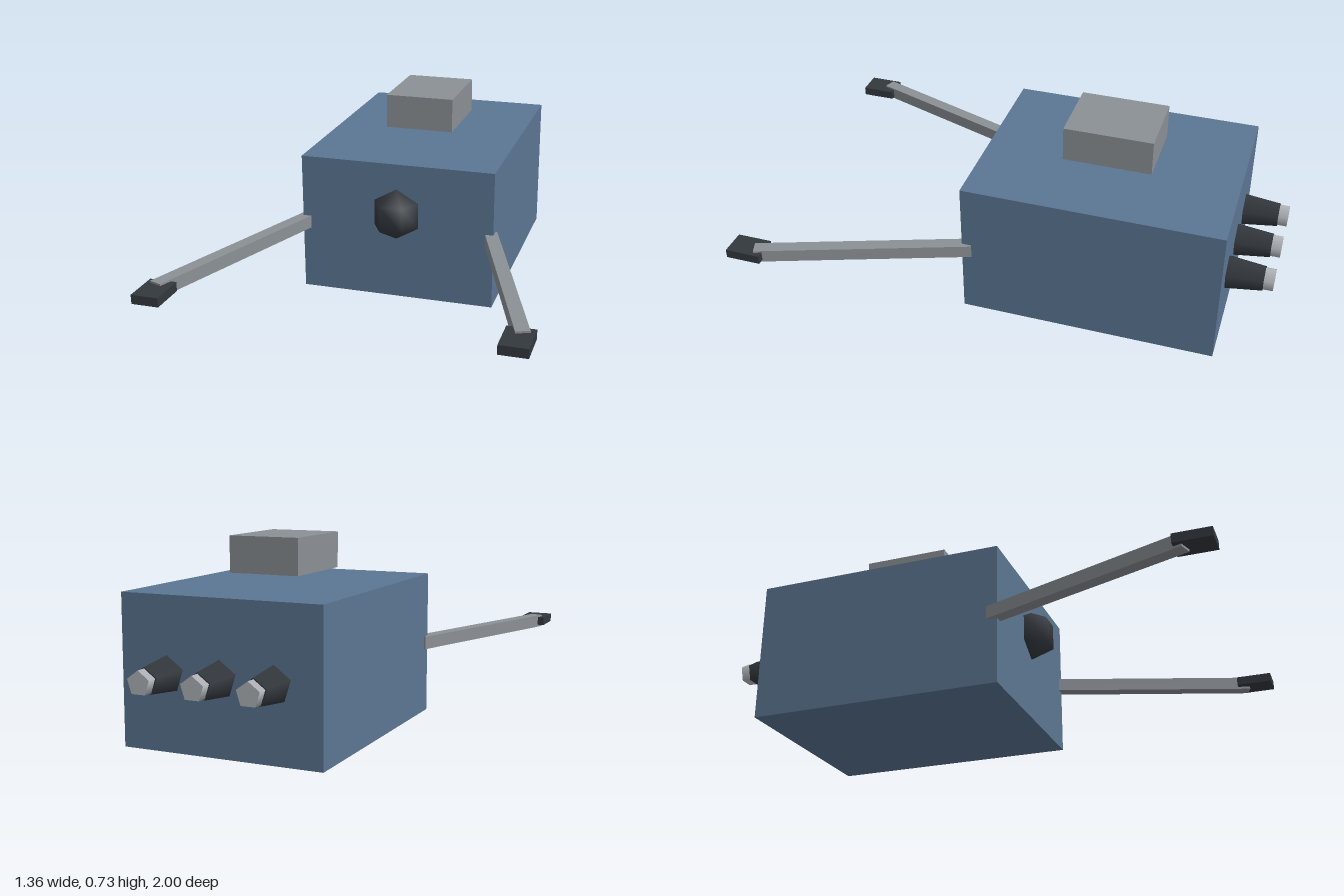
import * as THREE from 'three';

export function createModel() {
  const model = new THREE.Group();
  model.name = 'podVehicle';

  const material = (name, color) => {
    const m = new THREE.MeshStandardMaterial({ color });
    m.name = name;
    return m;
  };
  const blue = material('steel blue', 0x5b7692);
  const grey = material('mid grey', 0x8b9095);
  const dark = material('charcoal', 0x33383e);
  const silver = material('light silver', 0xb4b8bc);

  const add = (name, geometry, mat, x, y, z) => {
    const mesh = new THREE.Mesh(geometry, mat);
    mesh.name = name;
    mesh.position.set(x, y, z);
    model.add(mesh);
    return mesh;
  };

  // Hull and the block hovering above it
  add('body', new THREE.BoxGeometry(0.77, 0.55, 0.985), blue, 0, 0.275, -0.3325);
  add('roofBlock', new THREE.BoxGeometry(0.274, 0.135, 0.34), grey, 0, 0.6625, -0.332);

  // Faceted eye set halfway into the front
  add('frontEye', new THREE.SphereGeometry(0.102, 6, 3), dark, 0, 0.347, 0.16);

  // Splayed arms with flat grippers
  for (const side of [1, -1]) {
    const label = side > 0 ? 'left' : 'right';
    const arm = add(label + 'Arm', new THREE.BoxGeometry(0.05, 0.05, 0.82), grey, side * 0.505, 0.277, 0.515);
    arm.rotation.y = side * 0.34;
    add(label + 'Gripper', new THREE.BoxGeometry(0.1, 0.034, 0.136), dark, side * 0.631, 0.278, 0.932);
  }

  // Three rear thrusters, each a tapered nozzle with a bright tip
  const nozzle = new THREE.CylinderGeometry(0.05, 0.067, 0.14, 5).rotateX(-Math.PI / 2);
  const tip = new THREE.CylinderGeometry(0.045, 0.045, 0.06, 5).rotateX(-Math.PI / 2);
  for (const x of [-0.205, 0, 0.205]) {
    add('thrusterNozzle', nozzle, dark, x, 0.275, -0.893);
    add('thrusterTip', tip, silver, x, 0.275, -0.97);
  }

  return model;
}
